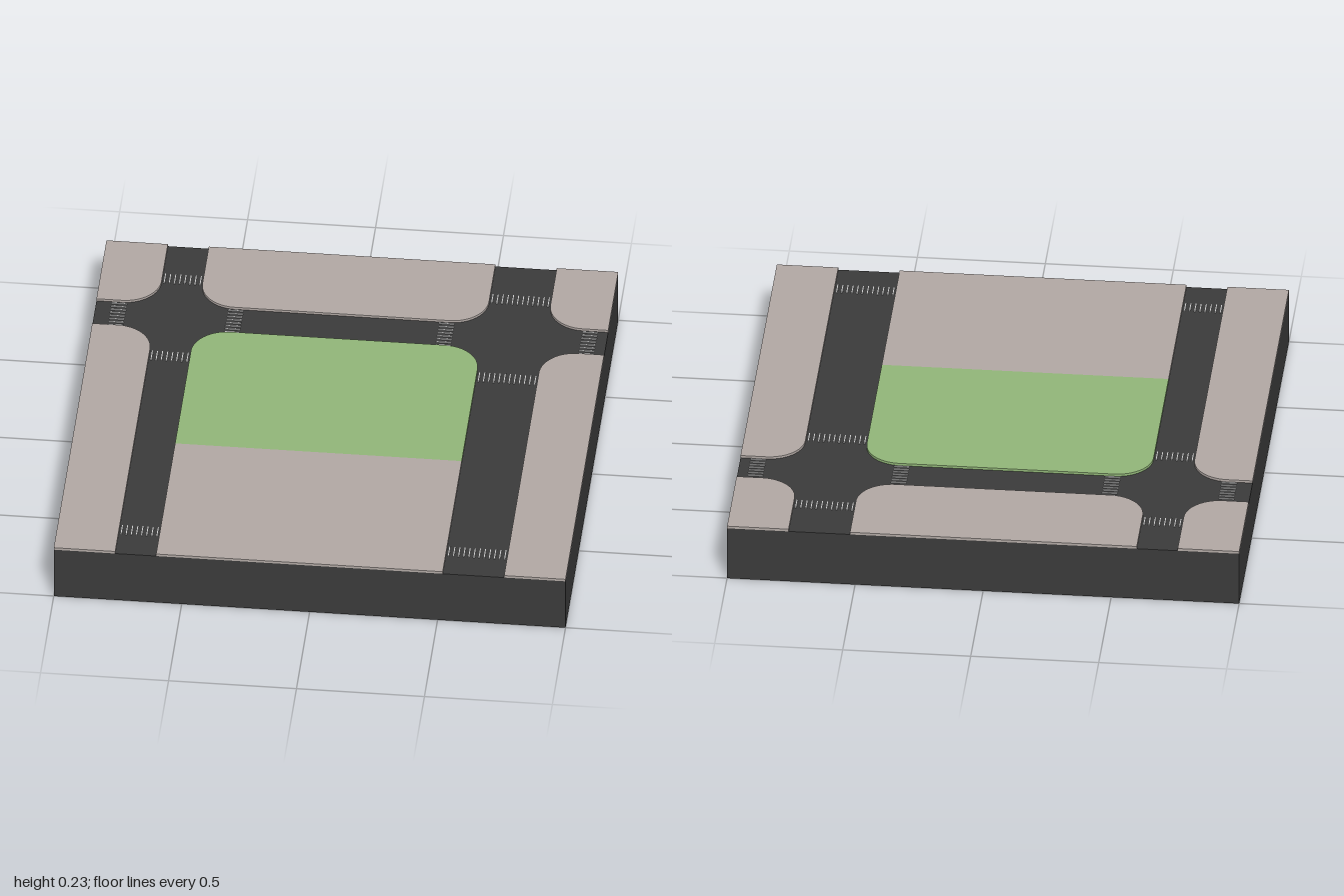
import * as THREE from 'three';

const ROAD_Y = 0.225, TOP_Y = 0.235, RADIUS = 0.14;
const WEST = [-0.76, -0.6], EAST = [0.52, 0.76], CROSS = [-0.62, -0.46];

const material = (color) => new THREE.MeshStandardMaterial({ color });

// Raised slab; the listed corners (bl, br, fr, fl = back/front + left/right on the plan) are rounded
function slab(name, [x0, x1], [z0, z1], rounded, mat) {
  const r = (corner) => (rounded.includes(corner) ? RADIUS : 0);
  const fl = r('fl'), fr = r('fr'), br = r('br'), bl = r('bl');
  const s = new THREE.Shape();
  s.moveTo(x0 + fl, -z1);
  s.lineTo(x1 - fr, -z1);
  if (fr) s.absarc(x1 - fr, -z1 + fr, fr, -Math.PI / 2, 0);
  s.lineTo(x1, -z0 - br);
  if (br) s.absarc(x1 - br, -z0 - br, br, 0, Math.PI / 2);
  s.lineTo(x0 + bl, -z0);
  if (bl) s.absarc(x0 + bl, -z0 - bl, bl, Math.PI / 2, Math.PI);
  s.lineTo(x0, -z1 + fl);
  if (fl) s.absarc(x0 + fl, -z1 + fl, fl, Math.PI, Math.PI * 1.5);
  const geo = new THREE.ExtrudeGeometry(s, { depth: TOP_Y - ROAD_Y, bevelEnabled: false, curveSegments: 12 });
  geo.rotateX(-Math.PI / 2).translate(0, ROAD_Y, 0);
  const mesh = new THREE.Mesh(geo, mat);
  mesh.name = name;
  return mesh;
}

// Row of thin stripes across a road: span is the road's width, at is the position along it
function crosswalk([a, b], at, alongX, mat) {
  const g = new THREE.Group();
  g.name = 'crosswalk';
  const count = Math.round((b - a) / 0.0205);
  const step = (b - a) / count;
  const h = 0.004;
  const geo = alongX ? new THREE.BoxGeometry(0.007, h, 0.06) : new THREE.BoxGeometry(0.06, h, 0.007);
  for (let i = 0; i < count; i++) {
    const p = a + (i + 0.5) * step;
    const stripe = new THREE.Mesh(geo, mat);
    stripe.name = 'stripe';
    stripe.position.set(alongX ? p : at, ROAD_Y + h / 2, alongX ? at : p);
    g.add(stripe);
  }
  return g;
}

export function createModel() {
  const model = new THREE.Group();
  model.name = 'cityBlock';
  const asphalt = material(0x3a3a3a), paving = material(0xb0a7a3);
  const grass = material(0x91b578), paint = material(0xcccccc);

  // Solid base whose top is the road surface
  const base = new THREE.Mesh(new THREE.BoxGeometry(2, ROAD_Y, 2), asphalt);
  base.name = 'roadBase';
  base.position.y = ROAD_Y / 2;
  model.add(base);

  // Pavement blocks between the roads
  const left = [-1, WEST[0]], middle = [WEST[1], EAST[0]], right = [EAST[1], 1];
  const back = [-1, CROSS[0]], front = [CROSS[1], 1];
  model.add(
    slab('backWestPavement', left, back, ['fr'], paving),
    slab('backPavement', middle, back, ['fl', 'fr'], paving),
    slab('backEastPavement', right, back, ['fl'], paving),
    slab('westPavement', left, front, ['br'], paving),
    slab('eastPavement', right, front, ['bl'], paving),
    slab('lawn', middle, [CROSS[1], 0.28], ['bl', 'br'], grass),
    slab('plaza', middle, [0.28, 1], [], paving)
  );

  // Pedestrian crossings
  for (const z of [-0.79, -0.29, 0.845]) model.add(crosswalk(WEST, z, true, paint));
  for (const z of [-0.79, -0.28, 0.855]) model.add(crosswalk(EAST, z, true, paint));
  for (const x of [-0.91, -0.455, 0.37, 0.93]) model.add(crosswalk(CROSS, x, false, paint));

  return model;
}
